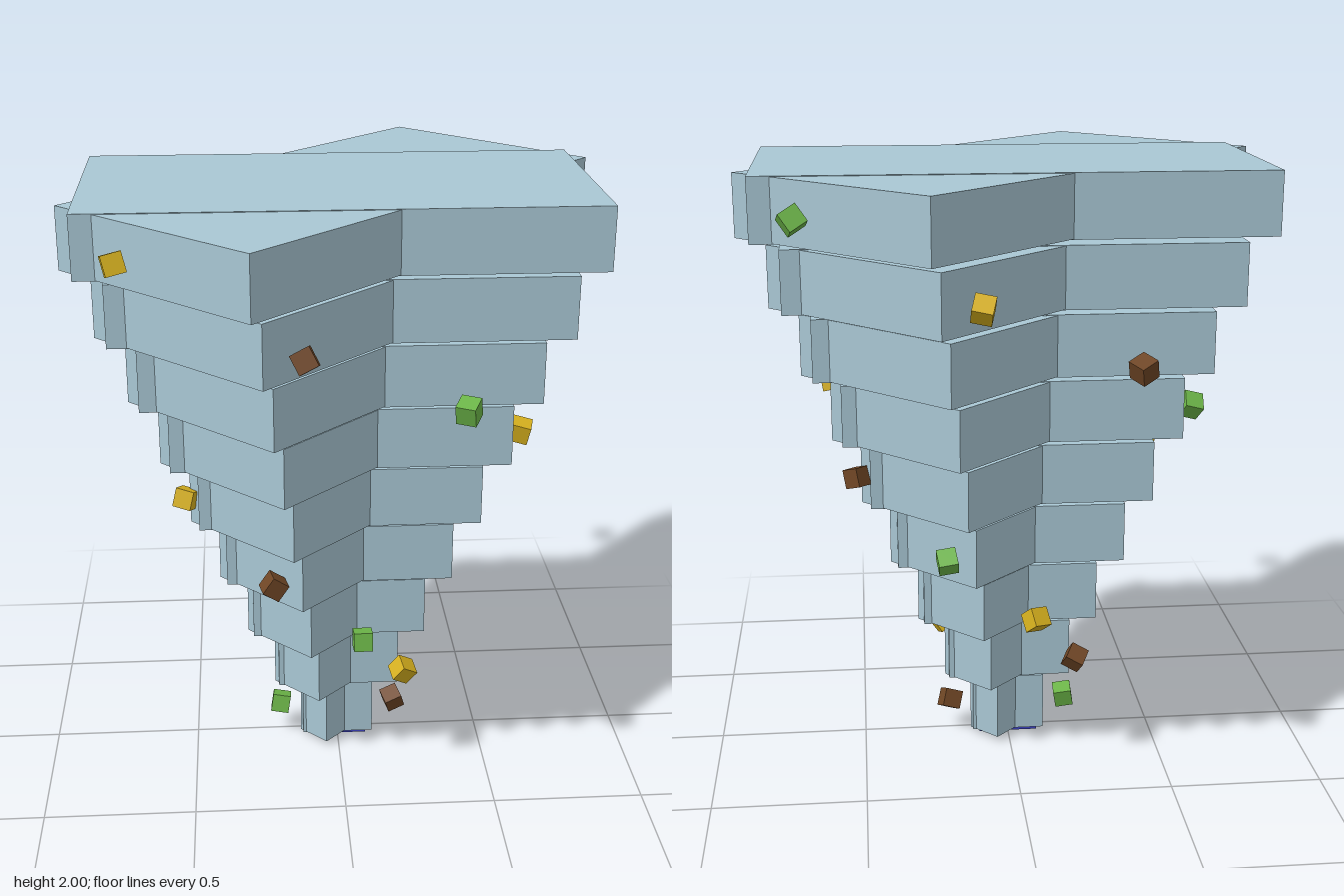
import * as THREE from 'three';

const mat = (name, color) => {
  const m = new THREE.MeshStandardMaterial({ color });
  m.name = name;
  return m;
};

export function createModel() {
  const model = new THREE.Group();
  model.name = 'tornado';

  const wind = mat('paleBlue', 0xa9c7d4);
  const brown = mat('brown', 0x6f4625);
  const green = mat('green', 0x6cb548);
  const yellow = mat('yellow', 0xd6b01e);
  const skin = mat('tan', 0x8f6038);
  const blue = mat('blue', 0x3a40c0);

  const box = (parent, name, size, pos, material) => {
    const mesh = new THREE.Mesh(new THREE.BoxGeometry(...size), material);
    mesh.name = name;
    mesh.position.set(...pos);
    parent.add(mesh);
    return mesh;
  };

  // Funnel: nine growing layers, each a slab crossed by a second one at 45 degrees
  const LAYERS = 9;
  const funnel = new THREE.Group();
  funnel.name = 'funnel';
  model.add(funnel);
  const layerY = (i) => 0.114 + i * 0.2232;
  for (let i = 0; i < LAYERS; i++) {
    const half = 0.123 + i * 0.0846;
    box(funnel, 'layerSlab', [half * 2, 0.2, half], [0, layerY(i), 0], wind);
    box(funnel, 'layerCrossSlab', [half * 2, 0.196, half], [0, layerY(i), 0], wind)
      .rotation.y = Math.PI / 4;
  }

  // Debris: opposite pairs of small cubes spiralling up around the funnel
  const debris = new THREE.Group();
  debris.name = 'debris';
  model.add(debris);
  const colours = [brown, green, yellow];
  for (let k = 0; k < LAYERS * 2; k++) {
    const i = Math.floor(k / 2);
    const angle = i * Math.PI * 2 / 9 + (k % 2) * Math.PI;
    const radius = 0.2 + i * 0.0835;
    const cube = box(debris, 'debrisCube', [0.062, 0.062, 0.062],
      [Math.cos(angle) * radius, layerY(i) - 0.005, Math.sin(angle) * radius], colours[k % 3]);
    cube.rotation.set(0.4 + k * 0.7, 0.3 + k * 1.1, 0.25);
  }

  // Blocky figure hidden in the core, seen through the gaps between layers
  const figure = new THREE.Group();
  figure.name = 'figure';
  model.add(figure);
  box(figure, 'head', [0.2, 0.2, 0.2], [0, 0.7, 0], skin);
  box(figure, 'torso', [0.2, 0.3, 0.1], [0, 0.45, 0], wind);
  for (const s of [-1, 1]) {
    box(figure, s > 0 ? 'leftArm' : 'rightArm', [0.1, 0.3, 0.1], [s * 0.15, 0.45, 0], skin);
    box(figure, s > 0 ? 'leftLeg' : 'rightLeg', [0.1, 0.3, 0.1], [s * 0.05, 0.15, 0], blue);
  }
  return model;
}
